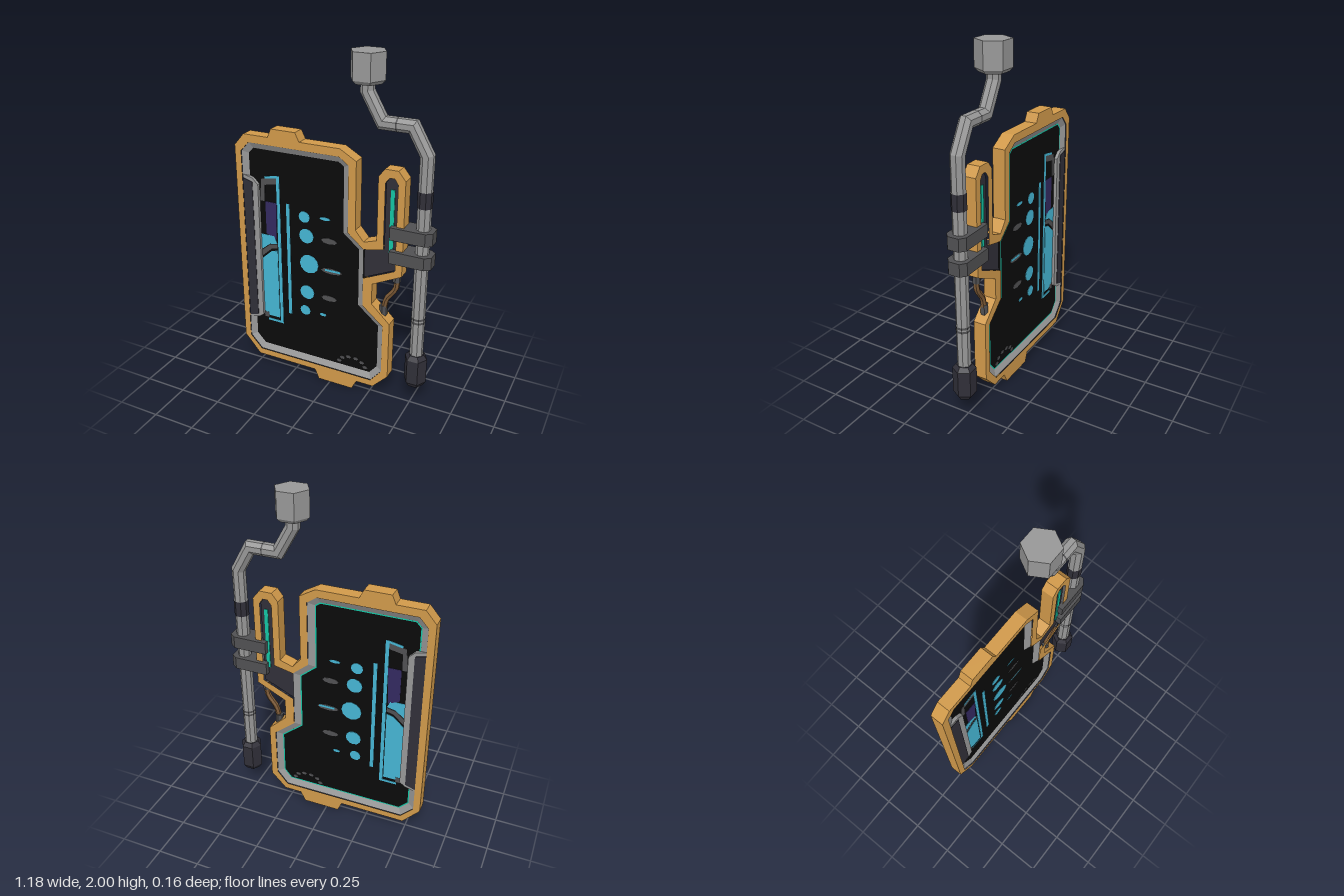
import * as THREE from 'three';

const mat = (name, color, extra = {}) => Object.assign(new THREE.MeshStandardMaterial({ color, flatShading: true, ...extra }), { name });

export function createModel() {
  const model = new THREE.Group();
  model.name = 'handheldPanel';
  const M = {
    orange: mat('orange casing', 0xd0994a),
    steel: mat('light steel', 0x979797, { side: THREE.DoubleSide }),
    iron: mat('dark iron', 0x505052),
    navy: mat('charcoal navy', 0x302f38),
    black: mat('black screen', 0x0a0a0a),
    cyan: mat('cyan display', 0x45b5d3),
    violet: mat('violet display', 0x33295f),
    teal: mat('teal glow', 0x14c4a4, { side: THREE.DoubleSide }),
    brown: mat('brown cable', 0x7d5a36),
  };
  const add = (name, geo, material, parent = model) => {
    const m = new THREE.Mesh(geo, material);
    m.name = name;
    parent.add(m);
    return m;
  };
  const V = (pts) => pts.map(([x, y]) => new THREE.Vector2(x, y));
  // Plate centred on z = 0 with half depth h
  const plate = (pts, h, hole) => {
    const s = new THREE.Shape(V(pts));
    if (hole) s.holes.push(new THREE.Path(V(hole)));
    return new THREE.ExtrudeGeometry(s, { depth: 2 * h, bevelEnabled: false }).translate(0, 0, -h);
  };
  const rect = (x0, x1, y0, y1) => [[x0, y0], [x1, y0], [x1, y1], [x0, y1]];
  // Mitred inset of a clockwise outline
  const inset = (pts, d) => pts.map((p, i) => {
    const a = pts[(i + pts.length - 1) % pts.length], b = pts[(i + 1) % pts.length];
    const n = (u, v) => { const l = Math.hypot(v[0] - u[0], v[1] - u[1]); return [(v[1] - u[1]) / l, -(v[0] - u[0]) / l]; };
    const n1 = n(a, p), n2 = n(p, b), k = d / (1 + n1[0] * n2[0] + n1[1] * n2[1]);
    return [p[0] + (n1[0] + n2[0]) * k, p[1] + (n1[1] + n2[1]) * k];
  });
  // Sloped band joining two outlines at different depths
  const band = (A, za, B, zb) => {
    const pos = [];
    A.forEach((a, i) => {
      const j = (i + 1) % A.length, b = B[i], c = A[j], d = B[j];
      pos.push(...a, za, ...c, za, ...b, zb, ...c, za, ...d, zb, ...b, zb);
    });
    const g = new THREE.BufferGeometry();
    g.setAttribute('position', new THREE.Float32BufferAttribute(pos, 3));
    g.computeVertexNormals();
    return g;
  };

  // Casing with one opening for the screen and side slot
  const outer = [[-0.59, 1.42], [-0.53, 1.49], [-0.375, 1.49], [-0.355, 1.54], [-0.205, 1.54], [-0.18, 1.49],
    [0.06, 1.49], [0.155, 1.435], [0.155, 1.045], [0.205, 0.985], [0.28, 1.01], [0.28, 1.375], [0.315, 1.42],
    [0.39, 1.42], [0.43, 1.37], [0.43, 0.825], [0.26, 0.74], [0.26, 0.615], [0.37, 0.51], [0.37, 0.155],
    [0.28, 0.06], [0.175, 0.06], [0.145, 0], [-0.075, 0], [-0.1, 0.06], [-0.49, 0.06], [-0.59, 0.175]];
  const upper = [[-0.55, 1.39], [-0.5, 1.445], [0.055, 1.445], [0.11, 1.405], [0.11, 1.02], [0.205, 0.94]];
  const lower = [[0.205, 0.59], [0.33, 0.485], [0.33, 0.18], [0.265, 0.1], [-0.475, 0.1], [-0.55, 0.18]];
  const slot = [[0.205, 0.94], [0.32, 0.965], [0.32, 1.345], [0.342, 1.375], [0.37, 1.375], [0.39, 1.345], [0.39, 0.85], [0.205, 0.765]];
  const opening = [...upper, ...lower];
  add('casing', plate(outer, 0.037, [...upper, ...slot.slice(1), ...lower]), M.orange);
  add('sideSlotPanel', plate(slot, 0.024), M.navy);
  add('slotGlow', plate(rect(0.348, 0.37, 0.94, 1.31), 0.028), M.teal);

  // Screen and sloped rims on both faces
  const inner = inset(opening, 0.036);
  add('screen', plate(opening, 0.012), M.black);
  for (const s of [1, -1]) add('screenRim', band(opening, 0.033 * s, inner, 0.014 * s), M.steel);
  add('rearGlowLine', band(inner, -0.0142, inset(opening, 0.043), -0.0142), M.teal);

  // Grip along the screen's edge
  add('gripFrame', plate([[-0.55, 1.25], [-0.49, 1.235], [-0.455, 1.2], [-0.455, 0.35], [-0.49, 0.325], [-0.55, 0.31]], 0.031), M.steel);
  add('gripInlay', plate([[-0.55, 1.228], [-0.49, 1.212], [-0.49, 0.345], [-0.55, 0.325]], 0.034), M.navy);

  // Display graphics, repeated on both faces
  const graphic = (name, pts, material, lift = 0) => {
    for (const s of [1, -1]) {
      add(name, plate(pts, 0.0015), material).position.z = s * (0.0125 + lift);
    }
  };
  const oval = (x, y, rx, ry, n = 12) => Array.from({ length: n }, (_, i) => {
    const a = i / n * Math.PI * 2;
    return [x + rx * Math.cos(a), y + ry * Math.sin(a)];
  });
  graphic('gaugeEdge', rect(-0.345, -0.325, 0.31, 1.265), M.cyan);
  graphic('gaugeBottom', rect(-0.43, -0.345, 0.31, 0.325), M.cyan);
  graphic('gaugeTop', [[-0.42, 1.235], [-0.345, 1.25], [-0.345, 1.265], [-0.42, 1.25]], M.cyan);
  graphic('gaugeCap', [[-0.455, 1.1], [-0.425, 1.1], [-0.42, 1.2], [-0.345, 1.215], [-0.345, 1.25], [-0.44, 1.235]], M.iron);
  graphic('gaugeFill', [[-0.455, 0.37], [-0.42, 0.345], [-0.35, 0.345], [-0.35, 0.8], [-0.39, 0.79], [-0.455, 0.73]], M.cyan);
  graphic('gaugeSlash', [[-0.455, 0.745], [-0.39, 0.805], [-0.35, 0.815], [-0.35, 0.84], [-0.4, 0.83], [-0.455, 0.785]], M.iron);
  graphic('gaugeWave', [[-0.455, 0.79], [-0.4, 0.835], [-0.35, 0.845], [-0.37, 0.89], [-0.455, 0.89]], M.cyan);
  graphic('gaugeReserve', [[-0.42, 0.9], [-0.355, 0.87], [-0.345, 1.1], [-0.42, 1.1]], M.violet);
  graphic('gaugeFoot', rect(-0.455, -0.425, 0.33, 0.365), M.iron, 0.001);
  graphic('scaleLine', rect(-0.285, -0.264, 0.395, 1.11), M.cyan);
  for (const [x, y, r] of [[-0.17, 1.05, 0.035], [-0.158, 0.935, 0.046], [-0.143, 0.76, 0.06], [-0.158, 0.572, 0.046], [-0.172, 0.447, 0.033]]) {
    graphic('indicatorDot', oval(x, y, r, r * 0.98), M.cyan);
  }
  for (const [x, y, w, h, m] of [[-0.04, 1.063, 0.033, 0.01, M.cyan], [-0.015, 0.932, 0.05, 0.018, M.iron],
    [0.0, 0.745, 0.066, 0.018, M.iron], [-0.015, 0.565, 0.05, 0.018, M.iron], [-0.055, 0.446, 0.022, 0.01, M.cyan]]) {
    graphic('indicatorDash', oval(x, y, w, h, 8), m);
  }
  graphic('dashHighlight', rect(-0.04, 0.055, 0.742, 0.755), M.cyan, 0.001);
  for (let i = 0; i < 6; i++) {
    const a = Math.PI * (0.06 + 0.176 * i);
    graphic('dialMark', oval(0.135 + 0.085 * Math.cos(a), 0.148 + 0.055 * Math.sin(a), 0.017, 0.011, 6), M.iron);
  }

  // Octagonal rod swept along a bent path with mitred joints
  const sweep = (path, r, sides = 8) => {
    const R = r / Math.cos(Math.PI / sides);
    const rings = path.map((p, i) => {
      const a = path[Math.max(i - 1, 0)], b = path[Math.min(i + 1, path.length - 1)];
      const t1 = V([[p[0] - a[0], p[1] - a[1]]])[0].normalize(), t2 = V([[b[0] - p[0], b[1] - p[1]]])[0].normalize();
      const t = t1.clone().add(t2).normalize();
      const k = 1 / (t.dot(i ? t1 : t2));
      return Array.from({ length: sides }, (_, j) => {
        const ang = (j + 0.5) / sides * Math.PI * 2, u = R * k * Math.cos(ang);
        return [p[0] + t.y * u, p[1] - t.x * u, -R * Math.sin(ang)];
      });
    });
    const pos = [];
    for (let i = 0; i + 1 < rings.length; i++) for (let j = 0; j < sides; j++) {
      const k = (j + 1) % sides, [a, b, c, d] = [rings[i][j], rings[i][k], rings[i + 1][k], rings[i + 1][j]];
      pos.push(...a, ...b, ...c, ...a, ...c, ...d);
    }
    const g = new THREE.BufferGeometry();
    g.setAttribute('position', new THREE.Float32BufferAttribute(pos, 3));
    g.computeVertexNormals();
    return g;
  };
  add('rod', sweep([[0.525, 0.3], [0.525, 1.51], [0.445, 1.65], [0.28, 1.65], [0.195, 1.8], [0.195, 1.88]], 0.035), M.steel);
  add('rodGrip', sweep([[0.525, 1.235], [0.525, 1.325]], 0.0375), M.navy);
  for (const y of [0.552, 0.574]) add('rodRing', sweep([[0.525, y], [0.525, y + 0.013]], 0.037), M.iron);
  add('rodJoint', sweep([[0.368, 1.65], [0.36, 1.65]], 0.0365), M.iron);

  // Six-sided head and foot
  const hex = (profile) => new THREE.LatheGeometry(V(profile), 6, Math.PI / 2);
  add('rodHead', hex([[0, 1.84], [0.075, 1.84], [0.095, 1.86], [0.095, 2], [0, 2]]), M.steel).position.x = 0.195;
  add('rodFoot', hex([[0, 0.14], [0.045, 0.14], [0.065, 0.17], [0.065, 0.32], [0.045, 0.345], [0, 0.345]]), M.navy).position.x = 0.525;

  // Two clamps holding the rod to the casing
  const clamp = [[0.36, -0.058], [0.555, -0.058], [0.588, -0.033], [0.588, 0.033], [0.555, 0.058], [0.36, 0.058]];
  for (const y of [0.9375, 1.075]) {
    add('clamp', plate(clamp, 0.036).rotateX(-Math.PI / 2), M.iron).position.y = y;
  }

  // Cable with sleeves at both ends
  const curve = new THREE.CatmullRomCurve3([[0.39, 0.82], [0.388, 0.73], [0.335, 0.65], [0.318, 0.55]].map(([x, y]) => new THREE.Vector3(x, y, 0)));
  add('cable', new THREE.TubeGeometry(curve, 10, 0.017, 6), M.brown);
  add('cableSleeve', new THREE.CylinderGeometry(0.023, 0.023, 0.06, 6), M.iron).position.set(0.318, 0.575, 0);
  add('cableSleeve', new THREE.CylinderGeometry(0.023, 0.023, 0.04, 6), M.iron).position.set(0.39, 0.79, 0);
  return model;
}
